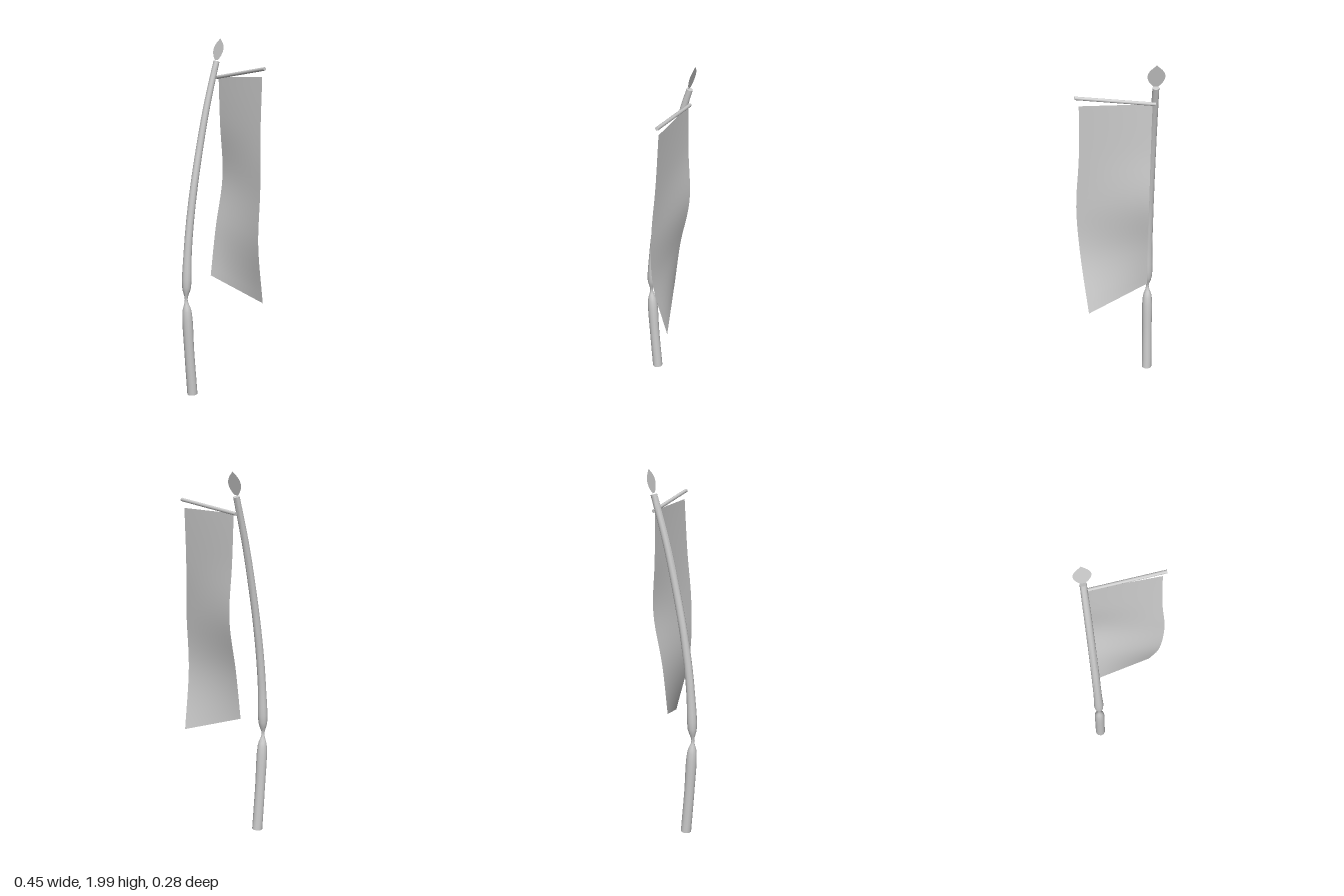
import * as THREE from 'three';
import { toCreasedNormals } from 'three/addons/utils/BufferGeometryUtils.js';

const POLE_X = -0.18;

function addMesh(group, name, geometry, material) {
  const mesh = new THREE.Mesh(geometry, material);
  mesh.name = name;
  group.add(mesh);
  return mesh;
}

// Bowed pole: stations of [radius, height, depth], pinched at the knot
function poleGeometry() {
  const stations = [
    [0.029, 0.005, 0.08], [0.028, 0.25, 0.1], [0.026, 0.49, 0.115],
    [0.008, 0.56, 0.12], [0.025, 0.63, 0.117], [0.023, 0.82, 0.108],
    [0.022, 1.0, 0.09], [0.021, 1.2, 0.06], [0.02, 1.4, 0.022],
    [0.019, 1.6, -0.022], [0.018, 1.75, -0.062], [0.017, 1.87, -0.097],
  ];
  const curve = new THREE.CatmullRomCurve3(stations.map((s) => new THREE.Vector3(...s)));
  const geo = new THREE.CylinderGeometry(1, 1, 1, 12, (stations.length - 1) * 4);
  const pos = geo.attributes.position;
  for (let i = 0; i < pos.count; i++) {
    const t = THREE.MathUtils.clamp(pos.getY(i) + 0.5, 0, 1);
    const { x: r, y, z } = curve.getPoint(t);
    const tan = curve.getTangent(t);
    const len = Math.hypot(tan.y, tan.z);
    const across = pos.getZ(i) * r;
    pos.setXYZ(i, POLE_X + pos.getX(i) * r, y - (across * tan.z) / len, z + (across * tan.y) / len);
  }
  return toCreasedNormals(geo, 0.9);
}

// Cloth ruled between its two waving side edges
function bannerGeometry() {
  const edge = (pts) => new THREE.CatmullRomCurve3(pts.map((p) => new THREE.Vector3(...p)));
  const inner = edge([
    [-0.165, 1.785, -0.1], [-0.16, 1.53, -0.106], [-0.155, 1.24, -0.12],
    [-0.155, 0.95, -0.07], [-0.16, 0.68, -0.038],
  ]);
  const outer = edge([
    [0.2, 1.785, -0.1], [0.205, 1.5, -0.086], [0.224, 1.2, -0.07],
    [0.208, 0.9, -0.072], [0.17, 0.565, -0.14],
  ]);
  const geo = new THREE.PlaneGeometry(1, 1, 8, 24);
  const pos = geo.attributes.position;
  for (let i = 0; i < pos.count; i++) {
    const t = THREE.MathUtils.clamp(0.5 - pos.getY(i), 0, 1);
    const p = inner.getPoint(t).lerp(outer.getPoint(t), pos.getX(i) + 0.5);
    pos.setXYZ(i, p.x, p.y, p.z);
  }
  geo.computeVertexNormals();
  return geo;
}

// Flat leaf-shaped blade, drawn upwards from its base
function leafGeometry() {
  const shape = new THREE.Shape();
  shape.moveTo(-0.012, 0);
  shape.bezierCurveTo(-0.03, 0.016, -0.044, 0.036, -0.044, 0.06);
  shape.bezierCurveTo(-0.042, 0.09, -0.016, 0.105, 0, 0.122);
  shape.bezierCurveTo(0.016, 0.105, 0.042, 0.09, 0.044, 0.06);
  shape.bezierCurveTo(0.044, 0.036, 0.03, 0.016, 0.012, 0);
  return new THREE.ShapeGeometry(shape, 6);
}

export function createModel() {
  const grey = new THREE.MeshStandardMaterial({ color: 0xcccccc, side: THREE.DoubleSide });
  grey.name = 'plain grey';
  const group = new THREE.Group();
  group.name = 'bannerPole';

  addMesh(group, 'pole', poleGeometry(), grey);
  addMesh(group, 'banner', bannerGeometry(), grey);

  // Finial leans back along the tip of the pole
  const finial = addMesh(group, 'finial', leafGeometry(), grey);
  finial.position.set(POLE_X, 1.877, -0.097);
  finial.rotation.x = -0.23;

  // Crossbar rises slightly towards its free end
  const start = new THREE.Vector3(POLE_X, 1.784, -0.1);
  const end = new THREE.Vector3(0.219, 1.828, -0.1);
  const dir = end.clone().sub(start);
  const bar = addMesh(group, 'crossbar', new THREE.CylinderGeometry(0.0095, 0.0095, dir.length(), 8), grey);
  bar.position.copy(start).add(end).multiplyScalar(0.5);
  bar.quaternion.setFromUnitVectors(new THREE.Vector3(0, 1, 0), dir.normalize());

  return group;
}
